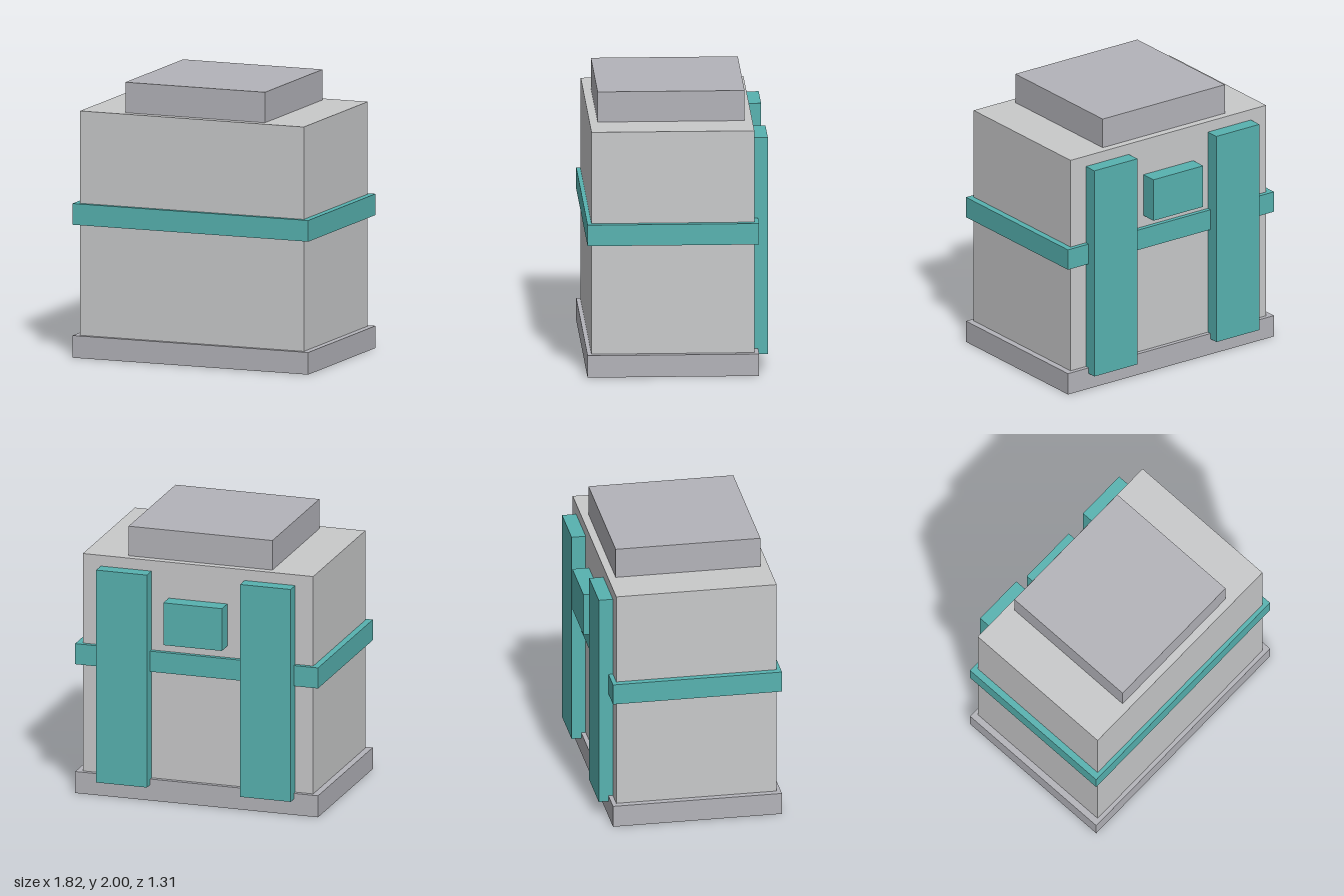
import * as THREE from 'three';

export function createModel() {
  const model = new THREE.Group();
  model.name = 'backpack';

  const material = (name, color) => {
    const m = new THREE.MeshStandardMaterial({ color });
    m.name = name;
    return m;
  };
  const lightGrey = material('light grey', 0xc8c9ca);
  const midGrey = material('mid grey', 0xb3b3b9);
  const teal = material('teal', 0x57b2b0);

  // Box given by its extents along each axis
  const box = (name, mat, [x0, x1], [y0, y1], [z0, z1]) => {
    const mesh = new THREE.Mesh(new THREE.BoxGeometry(x1 - x0, y1 - y0, z1 - z0), mat);
    mesh.position.set((x0 + x1) / 2, (y0 + y1) / 2, (z0 + z1) / 2);
    mesh.name = name;
    model.add(mesh);
  };

  // Pack body with its base and top lid
  box('body', lightGrey, [-0.865, 0.865], [0.08, 1.78], [-0.535, 0.625]);
  box('base', midGrey, [-0.912, 0.912], [0, 0.16], [-0.567, 0.655]);
  box('lid', midGrey, [-0.54, 0.54], [1.74, 2], [-0.48, 0.567]);

  // Band around the middle
  box('band', teal, [-0.912, 0.912], [0.96, 1.113], [-0.567, 0.655]);

  // Shoulder straps and the grab handle on the back
  box('leftStrap', teal, [0.35, 0.73], [0.117, 1.70], [-0.637, -0.52]);
  box('rightStrap', teal, [-0.73, -0.35], [0.117, 1.70], [-0.637, -0.52]);
  box('handle', teal, [-0.22, 0.22], [1.197, 1.512], [-0.655, -0.52]);

  return model;
}
